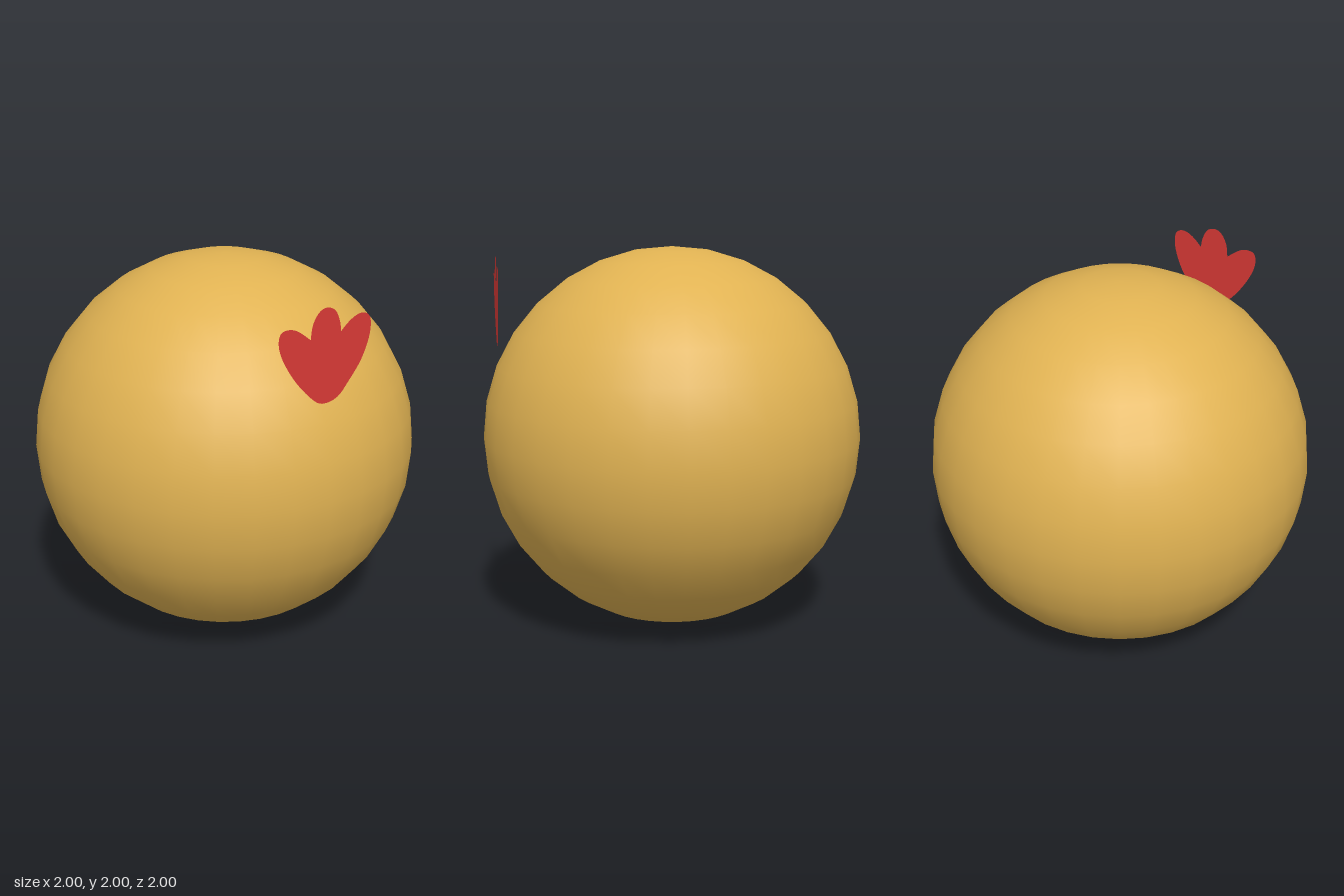
import * as THREE from 'three';

// Outline of the crest: smooth runs that meet at the two sharp notches
const leftNotch = [-0.09, 1.813], rightNotch = [0.08, 1.829];
const middleLobe = [[-0.08, 1.882], [-0.048, 1.936], [-0.005, 1.955], [0.043, 1.936], [0.07, 1.882], rightNotch];
const outerEdge = [
  [0.128, 1.872], [0.182, 1.898], [0.23, 1.888], [0.249, 1.845], [0.24, 1.765], [0.198, 1.663], [0.128, 1.567], [0.075, 1.508],
  [0.01, 1.486], [-0.053, 1.503], [-0.15, 1.6], [-0.225, 1.71], [-0.262, 1.8], [-0.257, 1.866], [-0.214, 1.882], [-0.16, 1.866],
  leftNotch,
];
const toPoints = (run) => run.map(([x, y]) => new THREE.Vector2(x, y));

export function createModel() {
  const group = new THREE.Group();

  // Round body
  const body = new THREE.Mesh(
    new THREE.SphereGeometry(1, 32, 16),
    new THREE.MeshStandardMaterial({ color: 0xe0b252 }),
  );
  body.name = 'body';
  body.position.y = 1;
  group.add(body);

  // Flat three-lobed crest, upright at the front
  const shape = new THREE.Shape();
  shape.moveTo(...leftNotch);
  shape.splineThru(toPoints(middleLobe));
  shape.splineThru(toPoints(outerEdge));
  const crest = new THREE.Mesh(
    new THREE.ShapeGeometry(shape, 4),
    new THREE.MeshStandardMaterial({ color: 0xd93a36, side: THREE.DoubleSide }),
  );
  crest.name = 'crest';
  crest.position.z = 0.917;
  group.add(crest);

  return group;
}
